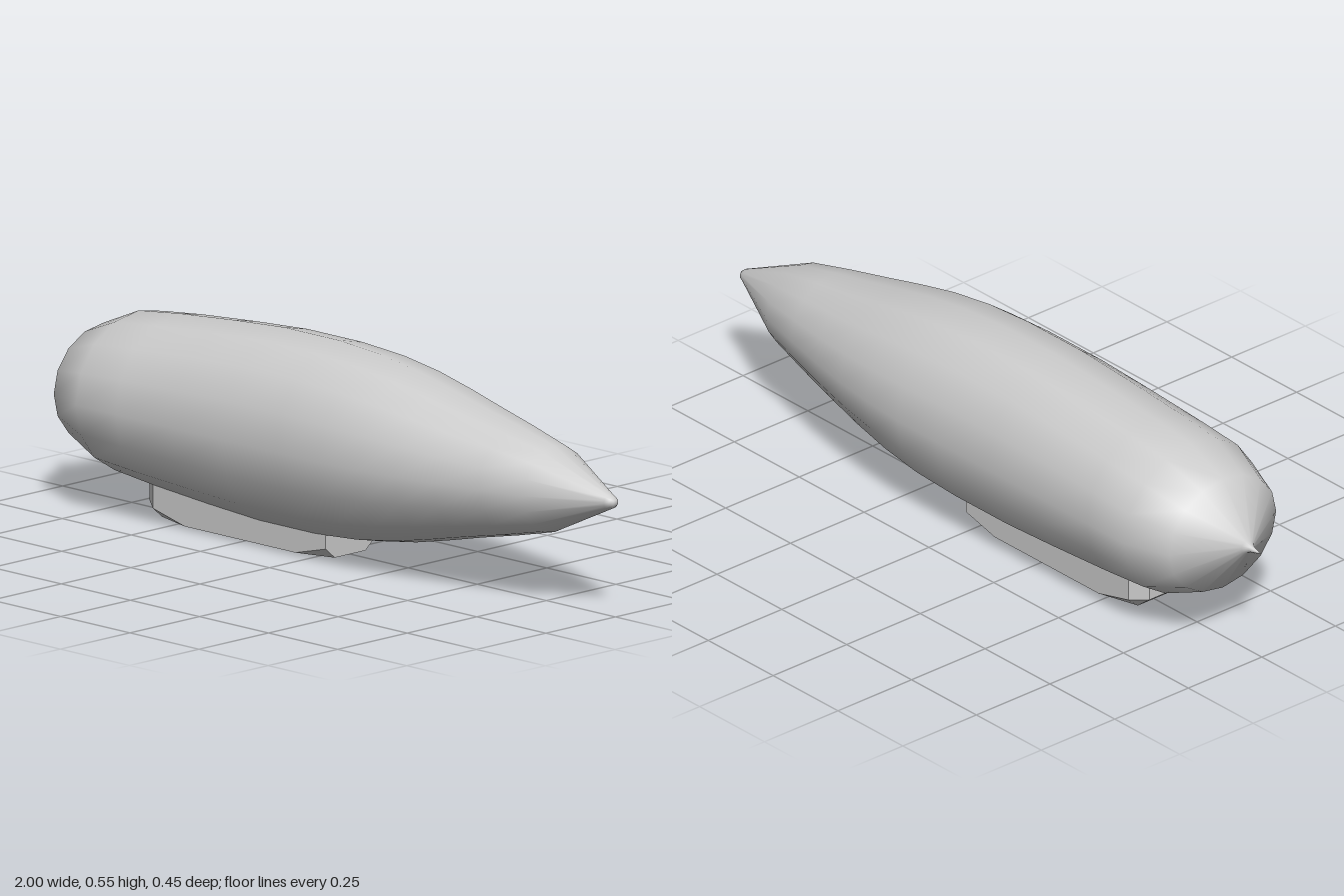
import * as THREE from 'three';
import { ConvexGeometry } from 'three/addons/geometries/ConvexGeometry.js';

const SIDES = 16;
const AXIS_Y = 0.298;

// Hull stations from tail to nose: [x, vertical radius, horizontal radius]
const STATIONS = [
  [-1, 0, 0], [-0.96, 0.009, 0.009], [-0.945, 0.019, 0.021], [-0.85, 0.157, 0.181],
  [-0.725, 0.21, 0.226], [-0.58, 0.227, 0.226], [-0.38, 0.244, 0.226], [-0.2, 0.256, 0.226],
  [0, 0.256, 0.226], [0.15, 0.245, 0.226], [0.28, 0.226, 0.216], [0.4, 0.2, 0.2],
  [0.52, 0.172, 0.177], [0.65, 0.144, 0.147], [0.78, 0.113, 0.115], [0.98, 0.02, 0.022],
  [0.993, 0.014, 0.017], [1, 0.008, 0.009], [1, 0, 0],
];

// Smooth loft through elliptical cross-sections
function loft(stations) {
  const positions = [], index = [];
  stations.forEach(([x, ry, rz], i) => {
    for (let j = 0; j < SIDES; j++) {
      const a = (j / SIDES) * Math.PI * 2;
      positions.push(x, AXIS_Y + ry * Math.cos(a), rz * Math.sin(a));
      if (i === stations.length - 1) continue;
      const p = i * SIDES + j, q = i * SIDES + ((j + 1) % SIDES);
      index.push(p, q, p + SIDES, q, q + SIDES, p + SIDES);
    }
  });
  const geometry = new THREE.BufferGeometry();
  geometry.setAttribute('position', new THREE.Float32BufferAttribute(positions, 3));
  geometry.setIndex(index);
  geometry.computeVertexNormals();
  return geometry;
}

// Gondola corners for one side, mirrored across z; its top is sunk into the hull
function gondolaGeometry() {
  const corners = [
    [0.04, 0.1, 0.088], [0.04, 0.028, 0.088], [0.04, 0, 0.055], // front end
    [-0.07, 0, 0.088], [-0.47, 0, 0.088],                       // bottom edge
    [-0.585, 0.1, 0.088], [-0.585, 0.028, 0.088],               // rear side
    [-0.585, 0, 0.055],                                         // rear bottom
    [-0.63, 0.1, 0.055], [-0.63, 0.035, 0.055],                 // rear end
  ];
  const points = corners.flatMap(([x, y, z]) => [
    new THREE.Vector3(x, y, z), new THREE.Vector3(x, y, -z),
  ]);
  return new ConvexGeometry(points);
}

export function createModel() {
  const group = new THREE.Group();
  group.name = 'airship';

  // Gas envelope with a pointed nose and tail spike
  const hull = new THREE.Mesh(loft(STATIONS), new THREE.MeshStandardMaterial({ color: 0xcccccc }));
  hull.name = 'envelope';

  // Cabin slung under the hull, with bevelled lower corners
  const gondola = new THREE.Mesh(
    gondolaGeometry(),
    new THREE.MeshStandardMaterial({ color: 0xcccccc, flatShading: true }),
  );
  gondola.name = 'gondola';

  group.add(hull, gondola);
  return group;
}
